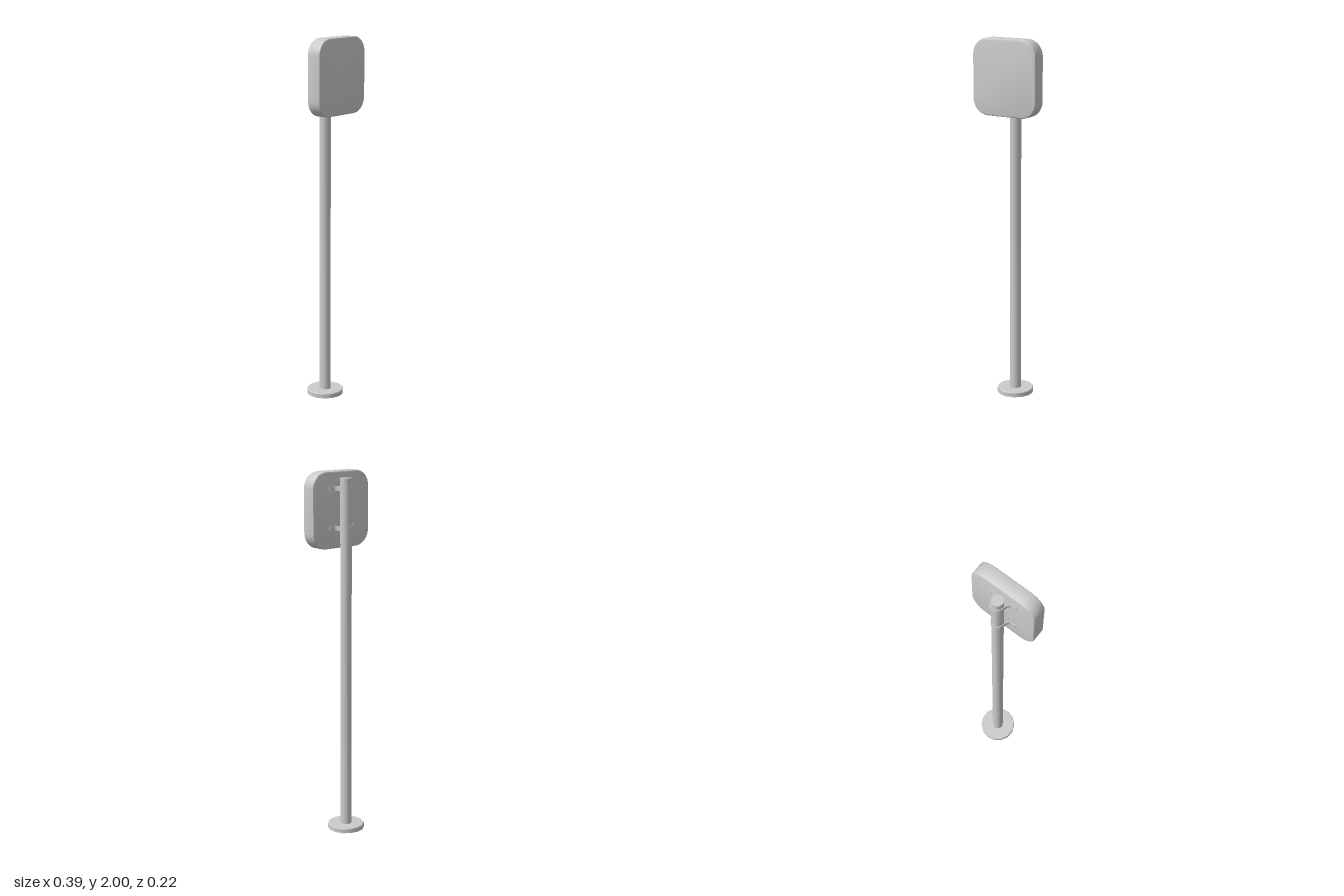
import * as THREE from 'three';
import { toCreasedNormals } from 'three/addons/utils/BufferGeometryUtils.js';

const POLE_Z = -0.01;
const POLE_R = 0.031;

export function createModel() {
  const group = new THREE.Group();
  const mat = new THREE.MeshStandardMaterial({ color: 0xcccccc });
  const open = new THREE.MeshStandardMaterial({ color: 0xcccccc, side: THREE.DoubleSide });

  function add(name, geometry, material, x, y, z) {
    const mesh = new THREE.Mesh(toCreasedNormals(geometry, 0.6), material);
    mesh.name = name;
    mesh.position.set(x, y, z);
    group.add(mesh);
    return mesh;
  }

  // Base flange: hollow shell, open underneath, with a hole for the pole
  const flange = [[0.102, 0], [0.102, 0.023], [0.099, 0.027], [POLE_R, 0.027]]
    .map(([r, y]) => new THREE.Vector2(r, y));
  add('base', new THREE.LatheGeometry(flange, 14), open, 0, 0, POLE_Z);

  // Pole: tube open at the bottom, closed at the top
  const tube = [[POLE_R, 0.026], [POLE_R, 1.965], [0, 1.965]]
    .map(([r, y]) => new THREE.Vector2(r, y));
  add('pole', new THREE.LatheGeometry(tube, 20), open, 0, 0, POLE_Z);

  // Sign panel: rounded rectangle with softened edges
  const bevel = 0.008, w = 0.193 - bevel, h = 0.205 - bevel, r = 0.08;
  const outline = new THREE.Shape();
  outline.moveTo(w, -h + r);
  outline.absarc(w - r, h - r, r, 0, Math.PI / 2);
  outline.absarc(-w + r, h - r, r, Math.PI / 2, Math.PI);
  outline.absarc(-w + r, -h + r, r, Math.PI, Math.PI * 1.5);
  outline.absarc(w - r, -h + r, r, Math.PI * 1.5, Math.PI * 2);
  const panel = new THREE.ExtrudeGeometry(outline, {
    depth: 0.082 - 2 * bevel, curveSegments: 5,
    bevelEnabled: true, bevelThickness: bevel, bevelSize: bevel, bevelSegments: 2,
  });
  add('signPanel', panel, mat, 0, 1.795, 0.028 + bevel);

  // Clamp strap: a bent strip that wraps the back of the pole, drawn in plan (x, -z)
  function strapSide(offset) {
    const R = 0.0315 + offset;
    const pts = [[-0.086, -0.0265 + offset], [-0.053 - offset * 0.4, -0.0265 + offset],
      [-0.044 - offset * 0.7, -0.022 + offset * 0.7], [-0.038 - offset, -0.012], [-R - 0.002, 0.002]];
    const path = pts.map(([x, y]) => new THREE.Vector2(x, y));
    for (let i = 0; i <= 12; i++) {
      const a = Math.PI * (1 - i / 12);
      path.push(new THREE.Vector2(Math.cos(a) * R, 0.01 + Math.sin(a) * R));
    }
    pts.reverse().forEach(([x, y]) => path.push(new THREE.Vector2(-x, y)));
    return path;
  }
  const strap = new THREE.Shape([...strapSide(0.004), ...strapSide(0).reverse()]);
  for (const [name, y] of [['upperClamp', 1.91], ['lowerClamp', 1.7]]) {
    const geometry = new THREE.ExtrudeGeometry(strap, { depth: 0.026, bevelEnabled: false });
    geometry.rotateX(-Math.PI / 2);
    add(name, geometry, mat, 0, y - 0.013, 0);
  }

  return group;
}
